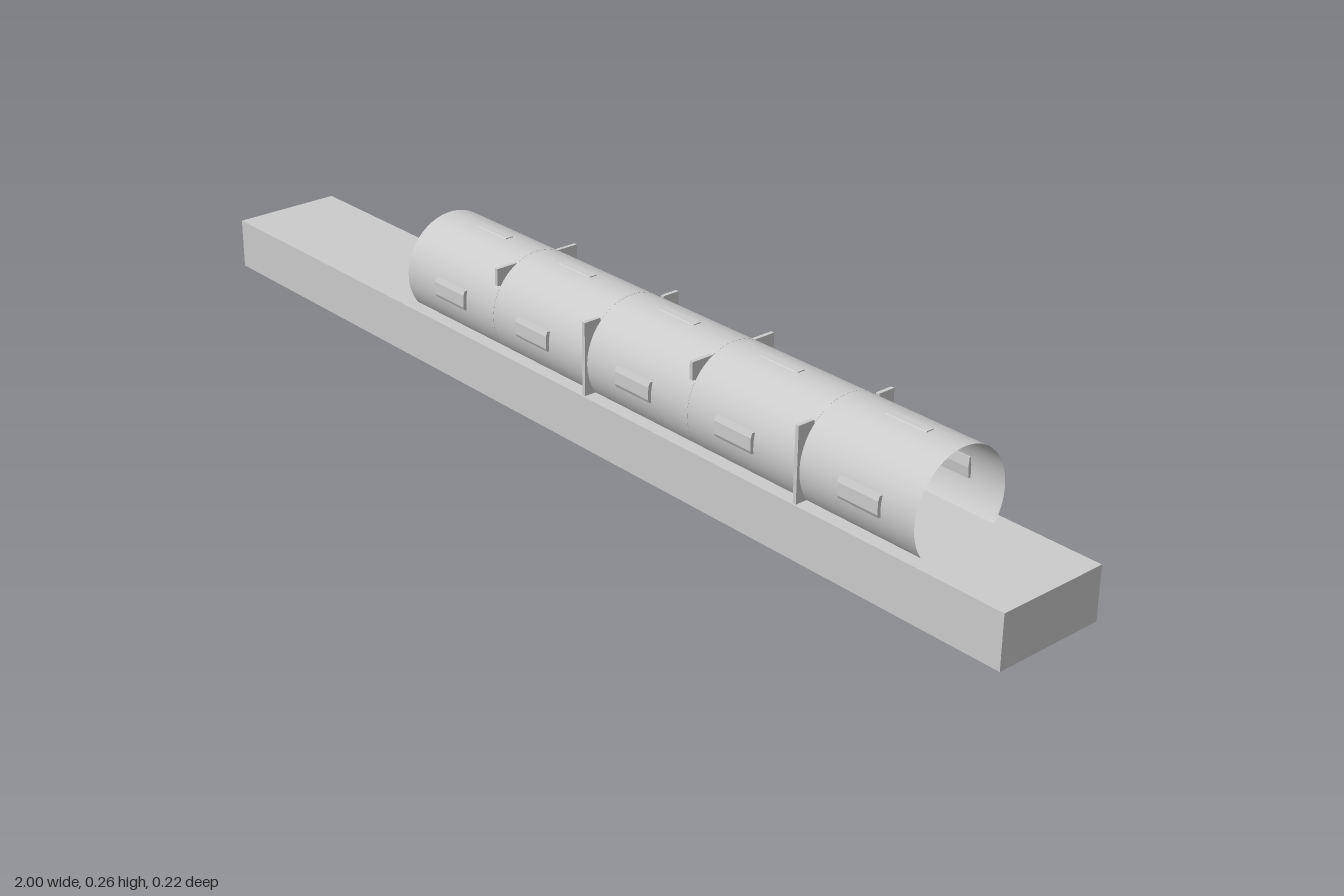
import * as THREE from 'three';

const R = 0.1, CY = 0.155;              // tunnel radius and axis height
const X0 = -0.44, X1 = 0.815, BASE = 0.097;
const A = Math.PI / 2 + Math.asin((CY - BASE) / R); // half sweep, from the crown to the floor

export function createModel() {
  const group = new THREE.Group();
  const mat = new THREE.MeshStandardMaterial({ color: 0xcccccc });
  const thin = new THREE.MeshStandardMaterial({ color: 0xcccccc, side: THREE.DoubleSide });

  function add(name, geo, material = mat, parent = group) {
    const mesh = new THREE.Mesh(geo, material);
    mesh.name = name;
    parent.add(mesh);
    return mesh;
  }

  // Plate drawn in the (z, y) cross-section, extruded along x around a centre
  function plate(points, x, depth, side = 1) {
    const pts = points.map(([z, y]) => new THREE.Vector2(-z * side, y));
    const geo = new THREE.ExtrudeGeometry(new THREE.Shape(pts), { depth, bevelEnabled: false });
    geo.translate(0, 0, -depth / 2);
    geo.rotateY(Math.PI / 2);
    return geo.translate(x, 0, 0);
  }

  // Outline of an arched band, outer arc then inner arc
  function archBand(outer, inner, half, n = 32) {
    const pts = [];
    for (const [r, s] of [[outer, 1], [inner, -1]])
      for (let i = 0; i <= n; i++) {
        const a = s * half * (2 * i / n - 1);
        pts.push([r * Math.sin(a), CY + r * Math.cos(a)]);
      }
    return pts;
  }

  // Ground slab
  add('base', new THREE.BoxGeometry(2, BASE, 0.216).translate(0, BASE / 2, 0));

  // Thin vaulted shell, open at the floor and both ends
  const shell = new THREE.CylinderGeometry(R, R, X1 - X0, 48, 1, true, Math.PI / 2 - A, 2 * A);
  shell.rotateZ(Math.PI / 2);
  // turn the middle of the sweep to the crown
  shell.computeBoundingBox();
  if (shell.boundingBox.max.y < R - 0.001) shell.rotateX(Math.PI);
  add('tunnelShell', shell.translate((X0 + X1) / 2, CY, 0), thin);

  // Ribs at the segment joints, alternating corner brackets and side pillars
  const bracket = [[0.09, 0.244], [0.022, 0.244], [0.047, 0.222], [0.047, 0.208], [0.07, 0.208], [0.09, 0.212]];
  const pillar = [[0.105, BASE], [0.105, 0.232], [0.071, 0.232], [0.071, 0.222], [0.076, 0.205], [0.073, BASE]];
  const foot = [[0.074, BASE], [0.074, 0.2], [0.063, 0.205], [0.065, 0.16], [0.057, 0.16], [0.055, 0.135], [0.059, 0.1], [0.062, BASE]];
  [-0.19, 0.066, 0.317, 0.573].forEach((x, i) => {
    const rib = new THREE.Group();
    rib.name = 'rib' + (i + 1);
    group.add(rib);
    add('ribArch', plate(archBand(R + 0.0004, 0.09, A - 0.03), x, 0.007), mat, rib);
    for (const s of [1, -1]) {
      if (i % 2) {
        add('sidePillar', plate(pillar, x, 0.007, s), mat, rib);
        add('innerFoot', plate(foot, x, 0.006, s), mat, rib);
      } else add('cornerBracket', plate(bracket, x, 0.007, s), mat, rib);
    }
  });

  // Chamfered panels on the crown and both flanks of each segment
  const crownPanel = [[-0.012, 0.251], [-0.007, 0.2565], [0.007, 0.2565], [0.012, 0.251], [0.007, 0.245], [-0.007, 0.245]];
  const sidePanel = [[0.095, 0.143], [0.103, 0.143], [0.106, 0.149], [0.106, 0.172], [0.103, 0.18], [0.095, 0.18], [0.093, 0.162]];
  for (const x of [-0.308, -0.075, 0.19, 0.432, 0.705]) {
    add('crownPanel', plate(crownPanel, x, 0.084));
    for (const s of [1, -1]) add('sidePanel', plate(sidePanel, x, 0.084, s));
  }
  return group;
}
